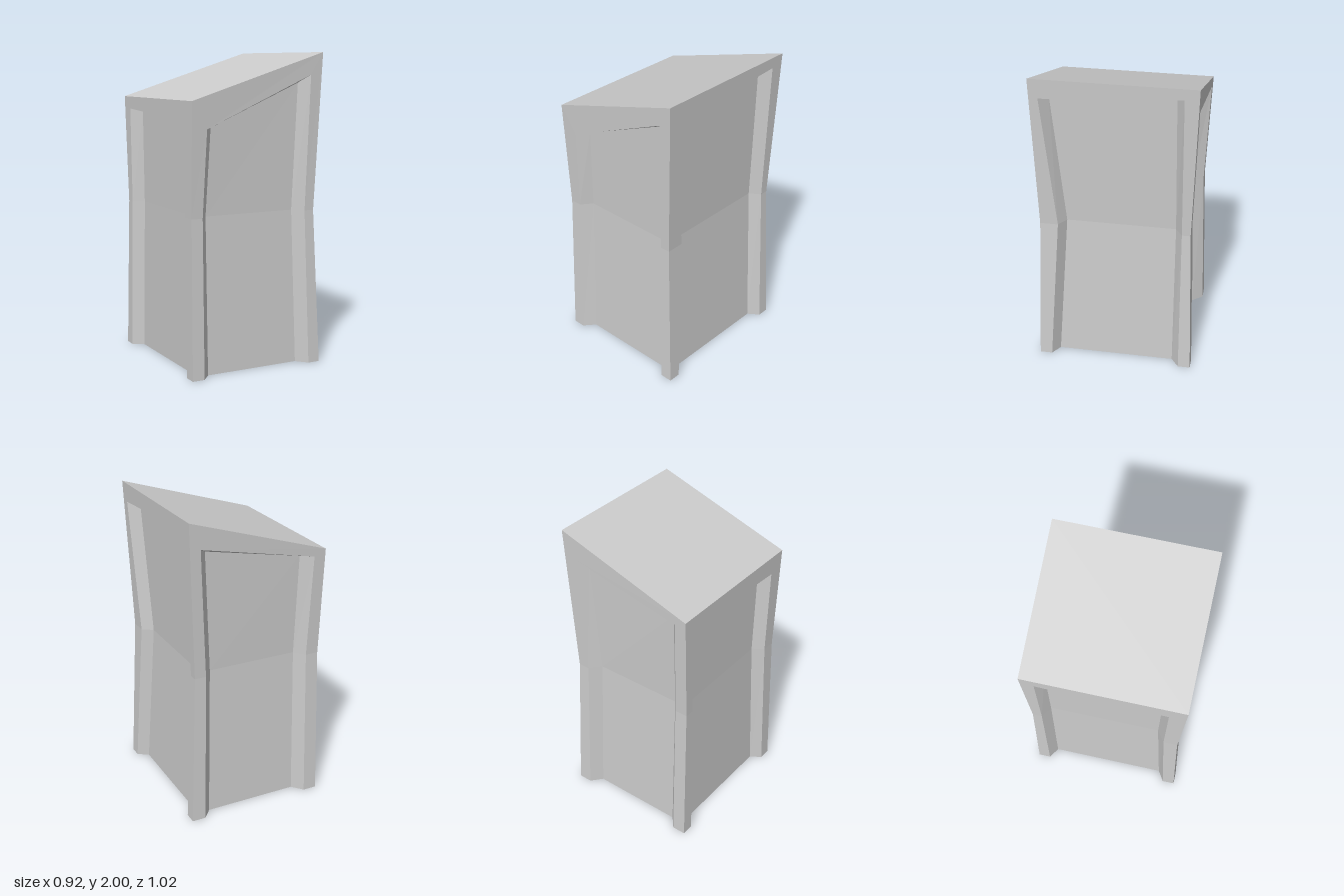
import * as THREE from 'three';

const X = 0.46, Z = 0.51, DEPTH = 0.07;
const topY = (x) => 1.855 + 0.315 * x; // sloping roof line

// Each side: half-width, distance out at foot/waist/top, and the recess columns
// [foot, waist, top, top height], measured left to right seen from outside.
// a, b: recess rim; ai, bi: recess floor.
const sides = [
  {
    name: 'front', half: X, mids: [-0.45, 0.42], out: [Z, 0.48],
    map: (u, y, o) => [u, y, o],
    a: [-0.38, -0.375, -0.355, 1.54], ai: [-0.32, -0.32, -0.295, 1.545],
    bi: [0.32, 0.298, 0.322, 1.81], b: [0.38, 0.355, 0.375, 1.86],
  },
  {
    name: 'left', half: Z, mids: [-0.48, 0.48], out: [X, 0.42],
    map: (u, y, o) => [o, y, -u],
    a: [-0.43, -0.365, -0.45, 1.875], ai: [-0.385, -0.32, -0.4, 1.877],
    bi: [0.38, 0.38, 0.37, 1.927], b: [0.43, 0.425, 0.42, 1.93],
  },
  {
    name: 'back', half: X, mids: [-0.42, 0.45], out: [Z, 0.48],
    map: (u, y, o) => [-u, y, -o],
    a: [-0.37, -0.345, -0.385, 1.83], ai: [-0.31, -0.285, -0.325, 1.79],
    bi: [0.31, 0.31, 0.32, 1.667], b: [0.37, 0.365, 0.383, 1.67],
  },
  {
    name: 'right', half: Z, mids: [-0.48, 0.48], out: [X, 0.45],
    map: (u, y, o) => [-o, y, u],
    a: [-0.43, -0.42, -0.42, 1.63], ai: [-0.385, -0.375, -0.37, 1.63],
    bi: [0.385, 0.34, 0.35, 1.585], b: [0.43, 0.39, 0.4, 1.585],
  },
];

// Three points of a column, lying on the pinched wall or set back from it
function column(side, [foot, waist, top, yTop], inset) {
  const [o0, o1] = side.out;
  const roof = topY(side.map(top, 0, o0)[0]);
  const oTop = THREE.MathUtils.lerp(o1, o0, (yTop - 1) / (roof - 1));
  return [
    side.map(foot, 0, o0 - inset),
    side.map(waist, 1, o1 - inset),
    side.map(top, yTop, oTop - inset),
  ];
}

function cornerColumn(side, s) {
  const u = s * side.half;
  const yTop = topY(side.map(u, 0, side.out[0])[0]);
  return column(side, [u, side.mids[s < 0 ? 0 : 1], u, yTop], 0);
}

// Flat-shaded mesh from quads, corners anticlockwise seen from outside
function quadMesh(name, quads, material) {
  const geo = new THREE.BufferGeometry();
  const pos = quads.flatMap(([p, q, r, s]) => [p, q, r, p, r, s].flat());
  geo.setAttribute('position', new THREE.Float32BufferAttribute(pos, 3));
  geo.computeVertexNormals();
  const mesh = new THREE.Mesh(geo, material);
  mesh.name = name;
  return mesh;
}

// Lower and upper quad between two neighbouring columns
const strip = (l, r) => [0, 1].map((i) => [l[i], r[i], r[i + 1], l[i + 1]]);

export function createModel() {
  const group = new THREE.Group();
  group.name = 'pinchedTower';
  const material = new THREE.MeshStandardMaterial({ color: 0xcccccc, flatShading: true });
  const outline = [];

  for (const side of sides) {
    const L = cornerColumn(side, -1), R = cornerColumn(side, 1);
    const a = column(side, side.a, 0), b = column(side, side.b, 0);
    const ai = column(side, side.ai, DEPTH), bi = column(side, side.bi, DEPTH);

    // Corner posts and the band above the recess
    group.add(quadMesh(side.name + 'Frame',
      [...strip(L, a), ...strip(b, R), [a[2], b[2], R[2], L[2]]], material));
    // Slanted sides and top of the recess
    group.add(quadMesh(side.name + 'RecessEdge',
      [...strip(a, ai), ...strip(bi, b), [ai[2], bi[2], b[2], a[2]]], material));
    // Sunken panel
    group.add(quadMesh(side.name + 'Panel', strip(ai, bi), material));

    for (const c of [L, a, ai, bi, b]) outline.push(new THREE.Vector2(c[0][0], c[0][2]));
  }

  // Sloping roof
  const roof = [[-X, Z], [X, Z], [X, -Z], [-X, -Z]].map(([x, z]) => [x, topY(x), z]);
  group.add(quadMesh('roof', [roof], material));

  // Underside, following the posts and panels
  const base = new THREE.Mesh(
    new THREE.ShapeGeometry(new THREE.Shape(outline)).rotateX(Math.PI / 2), material);
  base.name = 'underside';
  group.add(base);

  return group;
}
